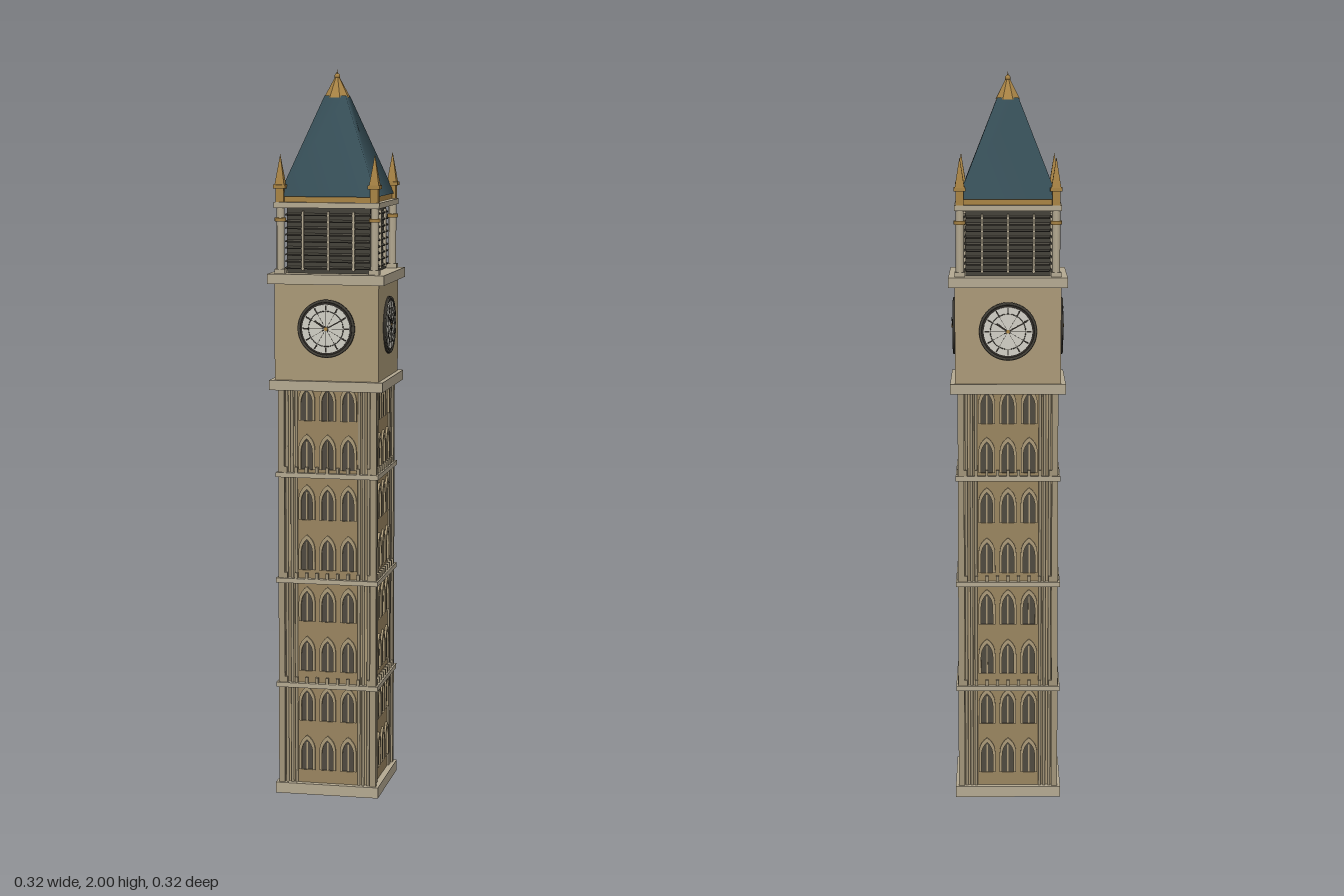
import * as THREE from 'three';

const mat = (color, side = THREE.FrontSide) => new THREE.MeshStandardMaterial({ color, side });
const M = {
  stone: mat(0xb5aa92), wall: mat(0xab9a78), panel: mat(0x9a8560), pier: mat(0xa2957a),
  dark: mat(0x45423a), pane: mat(0x4f4a40), roof: mat(0x38515a), gold: mat(0xa98445),
  dial: mat(0xd2d0c6), black: mat(0x2e2b26),
};

function add(parent, name, geometry, material, x = 0, y = 0, z = 0) {
  const mesh = new THREE.Mesh(geometry, material);
  mesh.name = name;
  mesh.position.set(x, y, z);
  parent.add(mesh);
  return mesh;
}
const box = (w, h, d) => new THREE.BoxGeometry(w, h, d);

// square slab given by half width and its bottom and top heights
const slab = (parent, name, half, y0, y1, material) =>
  add(parent, name, box(half * 2, y1 - y0, half * 2), material, 0, (y0 + y1) / 2, 0);

// four-sided frustum with sides parallel to the axes
const frustum = (halfTop, halfBottom, h) =>
  new THREE.CylinderGeometry(halfTop * Math.SQRT2, halfBottom * Math.SQRT2, h, 4).rotateY(Math.PI / 4);

// pointed arch outline, standing on y = 0
function arch(Type, w, h) {
  const a = w / 2, spring = h * 0.55;
  const s = new Type();
  s.moveTo(-a, 0);
  s.lineTo(a, 0);
  s.lineTo(a, spring);
  s.quadraticCurveTo(a, h * 0.84, 0, h);
  s.quadraticCurveTo(-a, h * 0.84, -a, spring);
  s.lineTo(-a, 0);
  return s;
}
const paneGeo = new THREE.ShapeGeometry(arch(THREE.Shape, 0.032, 0.085), 5);
const frameShape = arch(THREE.Shape, 0.046, 0.098);
frameShape.holes.push(arch(THREE.Path, 0.032, 0.085));
const frameGeo = new THREE.ExtrudeGeometry(frameShape, { depth: 0.006, bevelEnabled: false, curveSegments: 5 });

const FLOORS = [0.03, 0.31, 0.605, 0.9, 1.135];
const ROWS = [0.068, 0.208, 0.35, 0.49, 0.635, 0.775, 0.915, 1.05];

// windows and ribs on one side of the shaft
function shaftSide() {
  const g = new THREE.Group();
  g.name = 'shaftSide';
  add(g, 'windowPanel', box(0.17, 1.105, 0.004), M.panel, 0, 0.5825, 0.126);
  for (const y of ROWS) {
    for (const x of [-0.058, 0, 0.058]) {
      add(g, 'windowPane', paneGeo, M.pane, x, y, 0.1285);
      add(g, 'windowFrame', frameGeo, M.wall, x, y, 0.1275);
      add(g, 'mullion', box(0.004, 0.078, 0.003), M.wall, x, y + 0.039, 0.129);
    }
  }
  for (const s of [-1, 1]) {
    for (const x of [0.088, 0.1, 0.114])
      add(g, 'rib', new THREE.CylinderGeometry(0.004, 0.004, 1.105, 8), M.pier, s * x, 0.5825, 0.129);
  }
  // small blocks above each string course
  for (const y of FLOORS.slice(1, 4)) {
    for (let i = -4; i <= 4; i++)
      add(g, 'dentil', box(0.008, 0.016, 0.01), M.pier, i * 0.029, y + 0.014, 0.134);
  }
  return g;
}

function clock() {
  const g = new THREE.Group();
  g.name = 'clock';
  const disc = (r, d) => new THREE.CylinderGeometry(r, r, d, 40).rotateX(Math.PI / 2);
  add(g, 'clockSurround', disc(0.079, 0.008), M.black, 0, 0, 0.002);
  add(g, 'outerRing', new THREE.TorusGeometry(0.075, 0.004, 6, 40), M.dark, 0, 0, 0.005);
  add(g, 'clockDial', disc(0.066, 0.003), M.dial, 0, 0, 0.0068);
  add(g, 'innerRing', new THREE.TorusGeometry(0.048, 0.001, 4, 36), M.dark, 0, 0, 0.0085);
  const bar = (name, w, from, to, angle, z) => {
    const geo = box(w, to - from, 0.0015).translate(0, (from + to) / 2, 0);
    add(g, name, geo, M.black, 0, 0, z).rotation.z = angle;
  };
  for (let i = 0; i < 12; i++) {
    bar('hourMark', 0.004, 0.05, 0.064, i * Math.PI / 6, 0.0085);
    bar('spoke', 0.0008, 0.006, 0.048, i * Math.PI / 6, 0.0083);
  }
  bar('hourHand', 0.005, -0.008, 0.038, Math.PI * 0.31, 0.0095);
  bar('minuteHand', 0.0035, -0.012, 0.058, -Math.PI * 0.34, 0.0105);
  add(g, 'clockHub', disc(0.005, 0.003), M.gold, 0, 0, 0.0105);
  g.position.set(0, 1.305, 0.143);
  return g;
}

// louvred opening on one side of the bell stage
function belfrySide() {
  const g = new THREE.Group();
  g.name = 'belfrySide';
  for (const x of [-0.07, 0, 0.07])
    add(g, 'belfryMullion', box(0.006, 0.16, 0.008), M.stone, x, 1.54, 0.12);
  for (let i = 0; i < 9; i++)
    add(g, 'louvre', box(0.226, 0.004, 0.012), M.dark, 0, 1.468 + i * 0.018, 0.116).rotation.x = 0.5;
  return g;
}

// bell stage post with its pinnacle
function cornerPost() {
  const g = new THREE.Group();
  g.name = 'cornerPost';
  add(g, 'post', new THREE.CylinderGeometry(0.011, 0.011, 0.2, 8), M.stone, 0, 1.545, 0);
  add(g, 'postBase', box(0.028, 0.015, 0.028), M.stone, 0, 1.457, 0);
  add(g, 'postRing', new THREE.CylinderGeometry(0.016, 0.016, 0.01, 8), M.gold, 0, 1.598, 0);
  add(g, 'pinnacleBase', box(0.022, 0.045, 0.022), M.gold, 0, 1.666, 0);
  add(g, 'pinnacleCollar', box(0.033, 0.01, 0.033), M.gold, 0, 1.687, 0);
  const spire = new THREE.ConeGeometry(0.019, 0.085, 4).rotateY(Math.PI / 4).toNonIndexed();
  spire.computeVertexNormals();
  add(g, 'pinnacleSpire', spire, M.gold, 0, 1.732, 0);
  return g;
}

export function createModel() {
  const tower = new THREE.Group();
  tower.name = 'clockTower';

  // shaft
  slab(tower, 'plinth', 0.145, 0, 0.03, M.stone);
  slab(tower, 'shaftCore', 0.125, 0.03, 1.135, M.wall);
  for (const y of FLOORS.slice(1, 4)) slab(tower, 'stringCourse', 0.143, y - 0.007, y + 0.006, M.stone);

  // clock stage
  slab(tower, 'lowerCornice', 0.157, 1.135, 1.162, M.stone);
  slab(tower, 'clockStage', 0.144, 1.162, 1.425, M.wall);
  slab(tower, 'upperCornice', 0.161, 1.425, 1.452, M.stone);

  // bell stage
  slab(tower, 'belfryCore', 0.115, 1.452, 1.632, M.dark);
  slab(tower, 'belfryCornice', 0.145, 1.63, 1.645, M.stone);
  slab(tower, 'goldBand', 0.13, 1.645, 1.661, M.gold);

  // everything repeated on the four sides and corners
  for (let i = 0; i < 4; i++) {
    const side = new THREE.Group();
    side.name = 'towerSide';
    side.rotation.y = i * Math.PI / 2;
    side.add(shaftSide(), clock(), belfrySide());
    add(side, 'cornerPier', box(0.017, 1.105, 0.017), M.pier, 0.1285, 0.5825, 0.1285);
    const post = cornerPost();
    post.position.set(0.13, 0, 0.13);
    side.add(post);
    tower.add(side);
  }

  // roof and finial
  add(tower, 'roof', frustum(0.029, 0.135, 0.27), M.roof, 0, 1.795, 0);
  const finial = new THREE.ConeGeometry(0.036, 0.066, 8).rotateY(Math.PI / 8).toNonIndexed();
  finial.computeVertexNormals();
  add(tower, 'finial', finial, M.gold, 0, 1.958, 0);
  add(tower, 'finialTip', new THREE.SphereGeometry(0.008, 10, 8), M.gold, 0, 1.982, 0);
  add(tower, 'finialSpike', new THREE.ConeGeometry(0.004, 0.02, 8), M.gold, 0, 1.99, 0);
  return tower;
}
